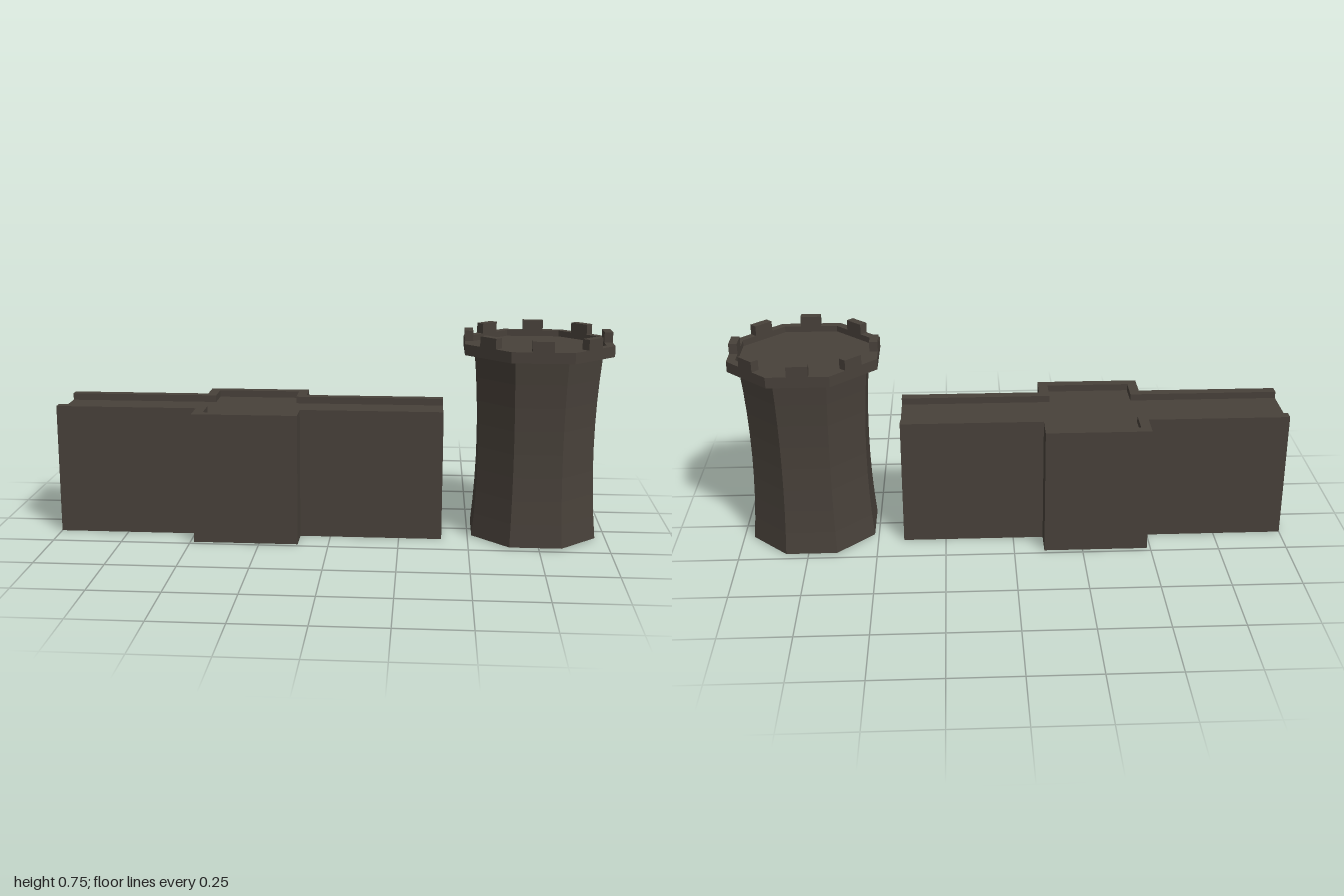
import * as THREE from 'three';

const stone = new THREE.MeshStandardMaterial({ color: 0x48413a, flatShading: true });
stone.name = 'dark stone';

function add(parent, name, geometry) {
  const mesh = new THREE.Mesh(geometry, stone);
  mesh.name = name;
  parent.add(mesh);
  return mesh;
}

// Extrudes a plan outline of [x, z] points upward from y0 to y1.
function plan(points, y0, y1) {
  const shape = new THREE.Shape(points.map(([x, z]) => new THREE.Vector2(x, -z)));
  const g = new THREE.ExtrudeGeometry(shape, { depth: y1 - y0, bevelEnabled: false });
  return g.rotateX(-Math.PI / 2).translate(0, y0, 0);
}

// Octagonal lathe with flat faces toward the axes; profile is [face distance, y].
function octagon(profile) {
  const k = 1 / Math.cos(Math.PI / 8);
  const pts = profile.map(([a, y]) => new THREE.Vector2(a * k, y));
  return new THREE.LatheGeometry(pts, 8, Math.PI / 8);
}

function createWall() {
  const wall = new THREE.Group();
  wall.name = 'wall';
  const x0 = -1, x1 = 0.405, b0 = -0.487, b1 = -0.11;
  const zWall = 0.133, zBastion = 0.232, lip = 0.036;
  const floorY = 0.448, topY = 0.473;

  // Stepped edge of one long side, inset by d
  const edge = (s, d) => [
    [x0, s * (zWall - d)], [b0 + d, s * (zWall - d)], [b0 + d, s * (zBastion - d)],
    [b1 - d, s * (zBastion - d)], [b1 - d, s * (zWall - d)], [x1, s * (zWall - d)],
  ];

  add(wall, 'wallBody', plan([...edge(1, 0), ...edge(-1, 0).reverse()], 0, floorY));
  for (const s of [1, -1]) {
    add(wall, s > 0 ? 'frontParapet' : 'backParapet',
      plan([...edge(s, 0), ...edge(s, lip).reverse()], floorY, topY));
  }
  return wall;
}

function createTower() {
  const tower = new THREE.Group();
  tower.name = 'tower';
  const bottom = 0.004, crownY = 0.676, rimY = 0.715, topY = 0.752;
  const outer = 0.262, inner = 0.232;

  // Shaft with a gentle waist
  const shaft = [[0, bottom]];
  for (let i = 0; i <= 8; i++) {
    const t = i / 8;
    const u = 2 * t - 1;
    shaft.push([0.206 + 0.017 * u * u, bottom + t * (crownY - bottom)]);
  }
  add(tower, 'shaft', octagon(shaft));

  // Overhanging crown with a sunken floor
  add(tower, 'crown', octagon([
    [0, crownY], [outer, crownY], [outer, rimY], [inner, rimY], [inner, 0.693], [0, 0.693],
  ]));

  // One merlon in the middle of each side
  for (let i = 0; i < 8; i++) {
    const g = new THREE.BoxGeometry(0.074, topY - rimY, outer - inner);
    g.translate(0, (topY + rimY) / 2, (outer + inner) / 2).rotateY(i * Math.PI / 4);
    add(tower, 'merlon', g);
  }
  tower.position.x = 0.738;
  return tower;
}

export function createModel() {
  const model = new THREE.Group();
  model.name = 'castleParts';
  model.add(createWall(), createTower());
  return model;
}
